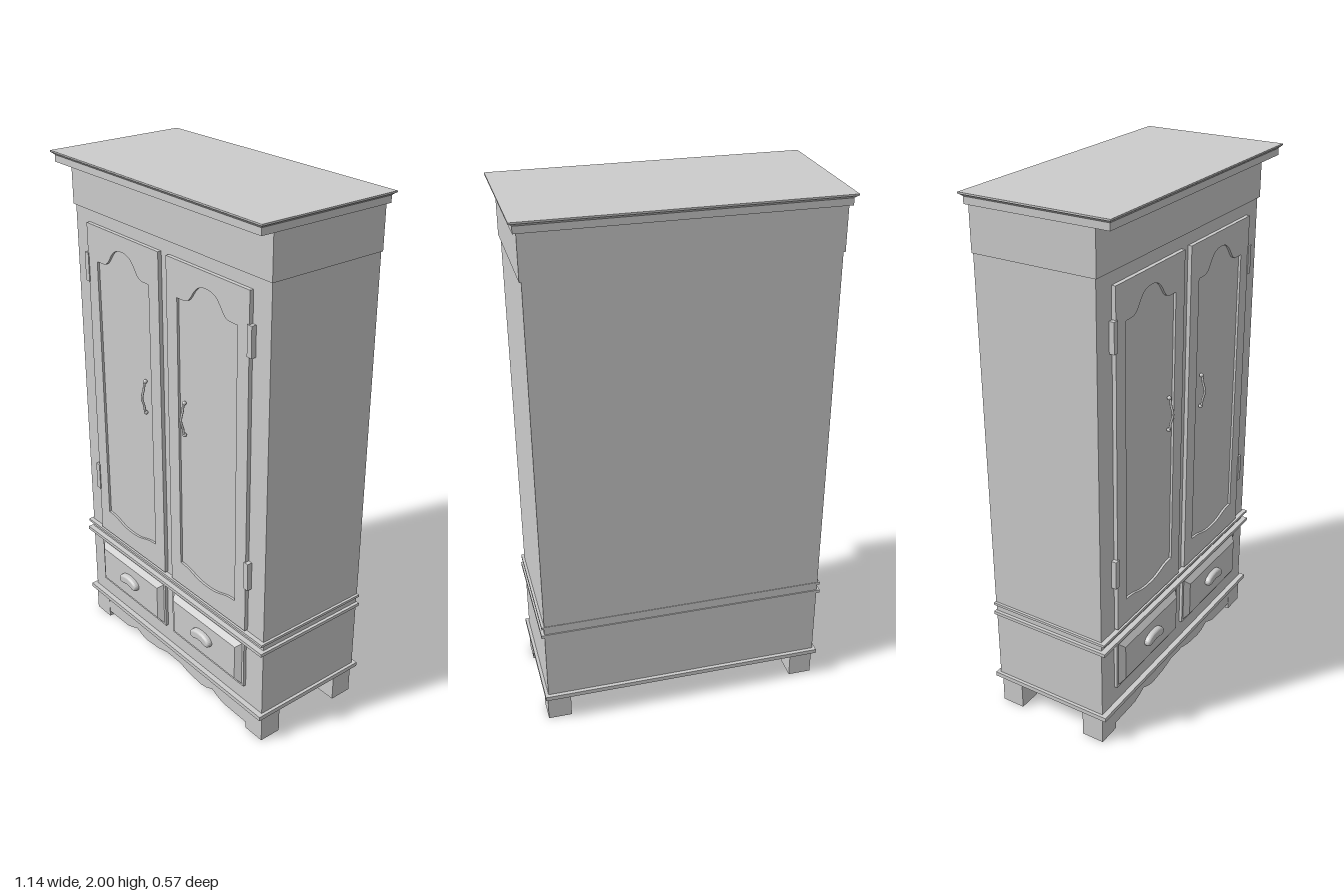
import * as THREE from 'three';

const material = new THREE.MeshStandardMaterial({ color: 0xcccccc });

export function createModel() {
  const model = new THREE.Group();

  const add = (name, geometry, parent = model) => {
    const mesh = new THREE.Mesh(geometry, material);
    mesh.name = name;
    parent.add(mesh);
    return mesh;
  };

  // Box given by its limits on each axis
  const block = (name, [x0, x1], [y0, y1], [z0, z1], parent) => {
    const g = new THREE.BoxGeometry(x1 - x0, y1 - y0, z1 - z0);
    g.translate((x0 + x1) / 2, (y0 + y1) / 2, (z0 + z1) / 2);
    return add(name, g, parent);
  };

  // Box whose end on one axis ('y' top or 'z' front) grows or shrinks by an inset
  const taper = (mesh, axis, inset) => {
    const g = mesh.geometry;
    g.computeBoundingBox();
    const box = g.boundingBox, c = box.getCenter(new THREE.Vector3());
    const p = g.attributes.position, v = new THREE.Vector3();
    for (let i = 0; i < p.count; i++) {
      v.fromBufferAttribute(p, i);
      if (v[axis] < c[axis]) continue;
      for (const k of ['x', 'y', 'z']) if (k !== axis) v[k] -= Math.sign(v[k] - c[k]) * inset;
      p.setXYZ(i, v.x, v.y, v.z);
    }
    g.computeVertexNormals();
    return mesh;
  };

  // Carcass
  block('cabinetBody', [-0.538, 0.538], [0.44, 1.85], [-0.262, 0.207]);
  block('drawerSection', [-0.538, 0.538], [0.1, 0.44], [-0.26, 0.207]);
  block('frieze', [-0.545, 0.545], [1.8, 1.97], [-0.263, 0.214]);

  // Cornice: straight fascia below a flared lip
  block('corniceFascia', [-0.557, 0.557], [1.96, 1.985], [-0.272, 0.273]);
  taper(block('corniceFlare', [-0.557, 0.557], [1.985, 1.995], [-0.272, 0.273]), 'y', -0.011);
  block('corniceTop', [-0.57, 0.57], [1.994, 2], [-0.283, 0.283]);

  // Horizontal mouldings
  block('upperMoulding', [-0.548, 0.548], [0.443, 0.453], [-0.264, 0.225]);
  block('middleMoulding', [-0.55, 0.55], [0.403, 0.416], [-0.264, 0.228]);
  block('baseMoulding', [-0.55, 0.55], [0.11, 0.127], [-0.275, 0.228]);

  // Feet
  for (const s of [-1, 1]) {
    const x = s < 0 ? [-0.54, -0.45] : [0.45, 0.54];
    block('frontFoot', x, [0, 0.105], [0.12, 0.208]);
    block('backFoot', x, [0, 0.105], [-0.25, -0.16]);
  }

  // Scalloped apron between the front feet
  const half = [[0, 0.053], [0.045, 0.053], [0.1, 0.038], [0.18, 0.031], [0.21, 0.036],
    [0.25, 0.052], [0.28, 0.038], [0.315, 0.027], [0.45, 0.025]];
  const apron = new THREE.Shape();
  apron.moveTo(-0.45, 0.11);
  [...half].reverse().forEach(([x, y]) => apron.lineTo(-x, y));
  half.slice(1).forEach(([x, y]) => apron.lineTo(x, y));
  apron.lineTo(0.45, 0.11);
  add('apron', new THREE.ExtrudeGeometry(apron, { depth: 0.025, bevelEnabled: false }))
    .position.z = 0.182;

  // Door frame with an arched opening, in coordinates of the +x door
  const frame = new THREE.Shape();
  frame.moveTo(0.022, 0.46).lineTo(0.452, 0.46).lineTo(0.452, 1.753).lineTo(0.022, 1.753).closePath();
  const opening = new THREE.Path();
  opening.moveTo(0.08, 0.56);
  opening.lineTo(0.08, 1.62);
  opening.lineTo(0.115, 1.62);
  opening.bezierCurveTo(0.17, 1.62, 0.155, 1.695, 0.237, 1.695);
  opening.bezierCurveTo(0.319, 1.695, 0.304, 1.62, 0.359, 1.62);
  opening.lineTo(0.394, 1.62);
  opening.lineTo(0.394, 0.56);
  opening.bezierCurveTo(0.32, 0.56, 0.32, 0.535, 0.237, 0.535);
  opening.bezierCurveTo(0.154, 0.535, 0.154, 0.56, 0.08, 0.56);
  frame.holes.push(opening);
  const doorGeometry = new THREE.ExtrudeGeometry(frame,
    { depth: 0.022, bevelEnabled: false, curveSegments: 16 });
  doorGeometry.translate(0, 0, 0.2);

  // Bowed door handle
  const bow = new THREE.CatmullRomCurve3([[1.115, 0.221], [1.125, 0.227], [1.145, 0.23],
    [1.18, 0.239], [1.215, 0.23], [1.235, 0.227], [1.245, 0.221]]
    .map(([y, z]) => new THREE.Vector3(0.115, y, z)));
  const handleGeometry = new THREE.TubeGeometry(bow, 24, 0.0045, 8);

  // Kidney-shaped cup pull
  const cup = new THREE.Shape();
  cup.moveTo(-0.048, -0.012);
  cup.bezierCurveTo(-0.062, 0.006, -0.03, 0.02, 0, 0.02);
  cup.bezierCurveTo(0.03, 0.02, 0.062, 0.006, 0.048, -0.012);
  cup.bezierCurveTo(0.036, -0.022, 0.026, -0.009, 0, -0.009);
  cup.bezierCurveTo(-0.026, -0.009, -0.036, -0.022, -0.048, -0.012);
  const cupGeometry = new THREE.ExtrudeGeometry(cup, { depth: 0.009, curveSegments: 10,
    bevelThickness: 0.012, bevelSize: 0.009, bevelOffset: -0.004, bevelSegments: 4 });

  for (const s of [-1, 1]) {
    const span = (a, b) => (s > 0 ? [a, b] : [-b, -a]);

    // Door (symmetric about its own centre line)
    const door = new THREE.Group();
    door.name = s > 0 ? 'leftDoor' : 'rightDoor';
    model.add(door);
    add('doorFrame', doorGeometry, door).position.x = s > 0 ? 0 : -0.474;
    block('doorPanel', span(0.07, 0.404), [0.5, 1.72], [0.2, 0.213], door);
    add('doorHandle', handleGeometry, door).position.x = s > 0 ? 0 : -0.23;
    for (const y of [1.118, 1.242]) {
      const mount = add('handleMount', new THREE.SphereGeometry(0.008, 12, 8), door);
      mount.position.set(s * 0.115, y, 0.223);
    }
    for (const y of [0.645, 1.53]) {
      block('hingeLeaf', span(0.446, 0.468), [y, y + 0.11], [0.2, 0.226], door);
    }

    // Drawer: thin lip with a bevelled raised field
    const drawer = new THREE.Group();
    drawer.name = s > 0 ? 'leftDrawer' : 'rightDrawer';
    drawer.position.x = s > 0 ? 0.232 : -0.242;
    model.add(drawer);
    block('drawerLip', [-0.214, 0.214], [0.2, 0.4], [0.19, 0.219], drawer);
    taper(block('drawerField', [-0.205, 0.205], [0.207, 0.393], [0.218, 0.237], drawer), 'z', 0.022);
    add('drawerPull', cupGeometry, drawer).position.set(-s * 0.004, 0.31, 0.237);
  }

  return model;
}
